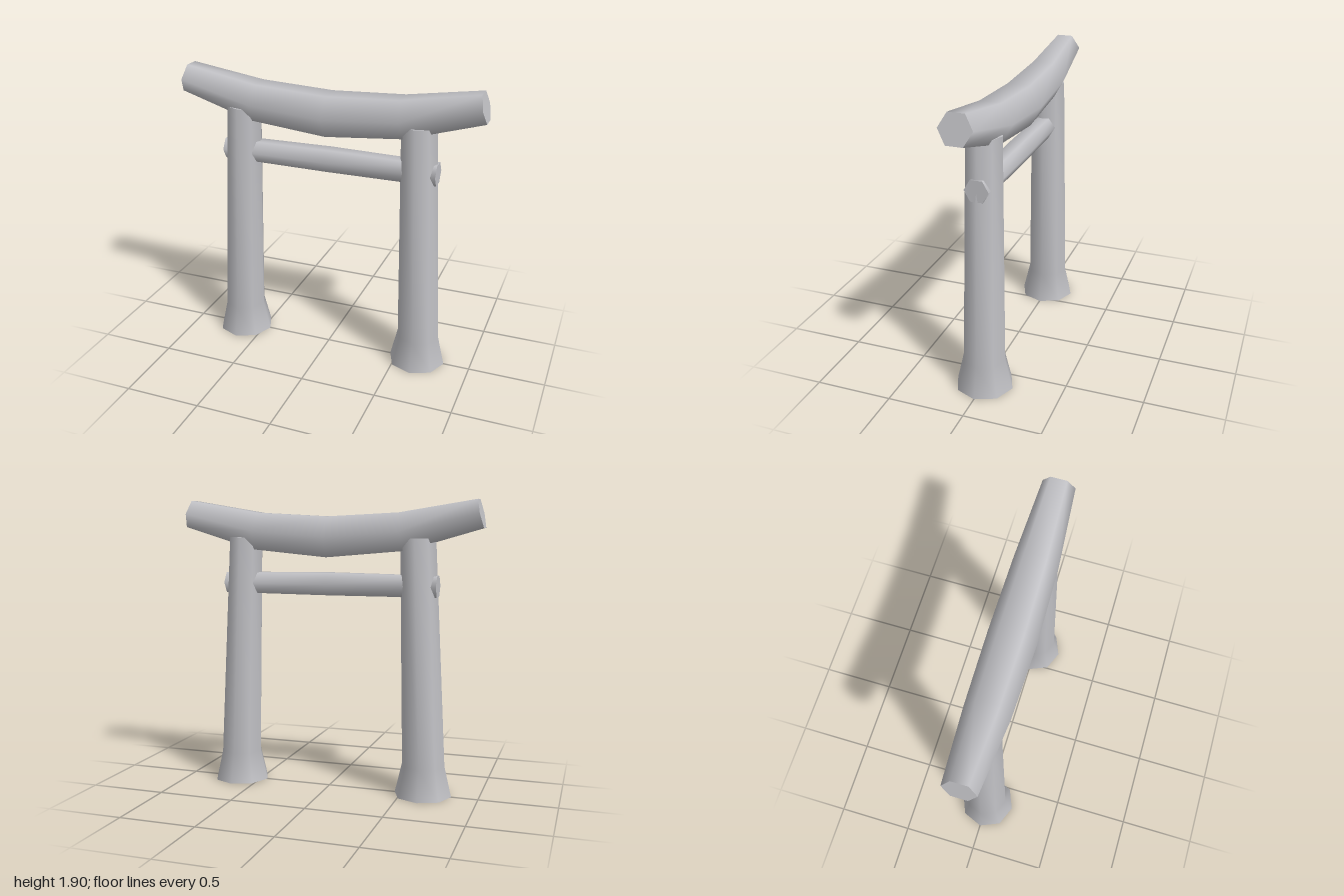
import * as THREE from 'three';

// Smooth loft through rings [x, y, axisAngle, radius] in the xy plane, with flat end caps
function loft(rings, sides, phase) {
  const pos = [], idx = [];
  const addRing = ([x, y, a, r]) => {
    const start = pos.length / 3;
    for (let j = 0; j < sides; j++) {
      const t = phase + (j / sides) * Math.PI * 2;
      pos.push(x - Math.sin(a) * r * Math.cos(t), y + Math.cos(a) * r * Math.cos(t), r * Math.sin(t));
    }
    return start;
  };
  const starts = rings.map(addRing);
  for (let i = 0; i < rings.length - 1; i++) {
    for (let j = 0; j < sides; j++) {
      const k = (j + 1) % sides;
      const a = starts[i] + j, b = starts[i] + k, c = starts[i + 1] + j, d = starts[i + 1] + k;
      idx.push(a, b, c, b, d, c);
    }
  }
  // caps use their own vertices so their edges stay sharp
  const s = addRing(rings[0]), e = addRing(rings[rings.length - 1]);
  for (let j = 1; j < sides - 1; j++) {
    idx.push(s, s + j + 1, s + j, e, e + j, e + j + 1);
  }
  const g = new THREE.BufferGeometry();
  g.setAttribute('position', new THREE.Float32BufferAttribute(pos, 3));
  g.setIndex(idx);
  g.computeVertexNormals();
  return g;
}

export function createModel() {
  const group = new THREE.Group();
  group.name = 'gate';
  const stone = new THREE.MeshStandardMaterial({ color: 0xc0c0c4 });
  stone.name = 'greyStone';
  const add = (name, geometry) => {
    const mesh = new THREE.Mesh(geometry, stone);
    mesh.name = name;
    group.add(mesh);
  };
  const up = Math.PI / 2;

  // octagonal pillars leaning inwards on flared feet
  for (const side of [1, -1]) {
    add(side > 0 ? 'leftPillar' : 'rightPillar', loft([
      [side * 0.64, 0, up, 0.187],
      [side * 0.64, 0.2, up, 0.14],
      [side * 0.585, 1.66, up, 0.115],
    ], 8, 0));
  }

  // hexagonal curved top beam, thinner towards its raised ends
  add('topBeam', loft([
    [-0.98, 1.812, -0.225, 0.103],
    [-0.49, 1.70, -0.13, 0.139],
    [0, 1.665, 0, 0.15],
    [0.49, 1.70, 0.13, 0.139],
    [0.98, 1.812, 0.225, 0.103],
  ], 6, Math.PI / 6));

  // hexagonal tie beam, its tips just showing outside the pillars
  add('tieBeam', loft([
    [-0.717, 1.358, 0, 0.077],
    [0, 1.361, 0, 0.084],
    [0.717, 1.358, 0, 0.077],
  ], 6, Math.PI / 6));

  return group;
}
